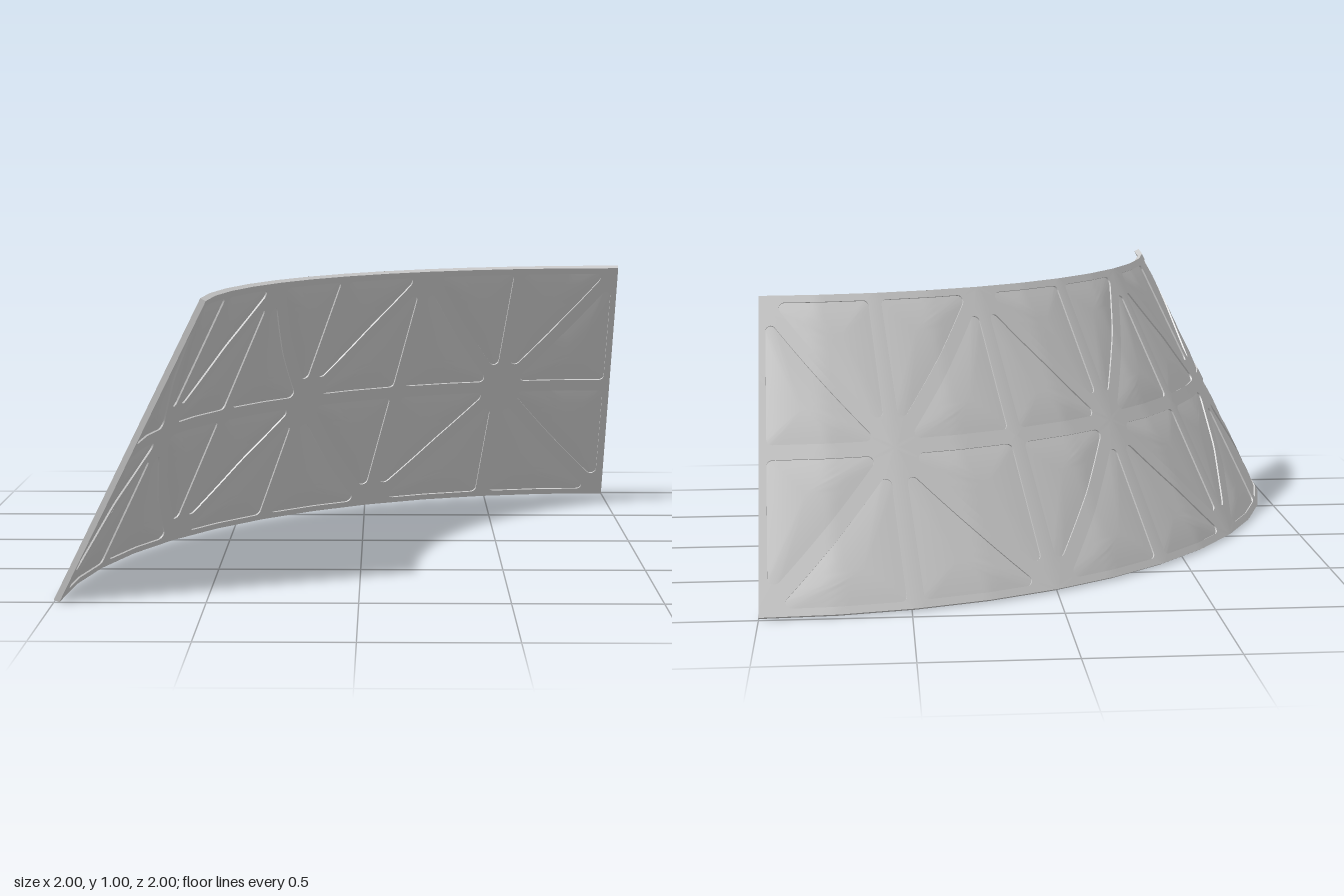
import * as THREE from 'three';
import { toCreasedNormals } from 'three/addons/utils/BufferGeometryUtils.js';

const BAYS = 3, FACETS = 4;                // bays, and flat facets per bay
const W = 0.916, H = 1.108;                // bay width and slope length, unrolled
const THICK = 0.02, STEP = 0.006, BULGE = 0.006;
const MARGIN = 0.026, ROUND = 0.02;

// Wrap unrolled bay coordinates (s, t) onto a faceted quarter cone; d = height above the inner face
function wrap(bay, s, t, d) {
  const f = (bay + s / W) * FACETS;
  const i = Math.min(Math.floor(f + 1e-6), BAYS * FACETS - 1);
  const step = Math.PI / (2 * BAYS * FACETS);
  const mix = fn => THREE.MathUtils.lerp(fn(i * step), fn((i + 1) * step), f - i);
  const v = t / H;
  const r = 1.982 - 0.492 * v + 0.894 * d;
  return [1 - r * mix(Math.sin), 0.991 * v + 0.447 * d, 1 - r * mix(Math.cos)];
}

function quad(out, a, b, c, d, flip) {
  const order = flip ? [a, c, b, a, d, c] : [a, b, c, a, c, d];
  for (const p of order) out.push(...p);
}

// Rounded inset outline of a triangle, paired with points on the triangle itself
function outlines(tri) {
  const len = tri.map((_, i) => tri[(i + 1) % 3].distanceTo(tri[(i + 2) % 3]));
  const sum = len[0] + len[1] + len[2];
  const centre = new THREE.Vector2();
  tri.forEach((p, i) => centre.addScaledVector(p, len[i] / sum));
  const normal = tri.map((p, i) => {
    const e = tri[(i + 1) % 3].clone().sub(p).normalize();
    return new THREE.Vector2(e.y, -e.x);
  });
  const rho = tri[0].clone().sub(centre).dot(normal[0]);
  const k = 1 - (MARGIN + ROUND) / rho;
  const core = tri.map(p => centre.clone().lerp(p, k));
  const inner = [];
  for (let i = 0; i < 3; i++) {
    const n0 = normal[(i + 2) % 3], n1 = normal[i];
    const a0 = Math.atan2(n0.y, n0.x);
    const turn = Math.acos(THREE.MathUtils.clamp(n0.dot(n1), -1, 1));
    for (let j = 0; j <= 6; j++) {
      const a = a0 + turn * j / 6;
      inner.push(core[i].clone().add(new THREE.Vector2(Math.cos(a), Math.sin(a)).multiplyScalar(ROUND)));
    }
    const start = inner[inner.length - 1];
    const end = core[(i + 1) % 3].clone().addScaledVector(n1, ROUND);
    for (let j = 1; j < 14; j++) inner.push(start.clone().lerp(end, j / 14));
  }
  // Cast each inner point from the incentre out to the nearest side
  const outer = inner.map(p => {
    const dir = p.clone().sub(centre);
    const reach = Math.max(...normal.map(n => dir.dot(n)));
    return centre.clone().addScaledVector(dir, rho / reach);
  });
  return { centre, inner, outer };
}

function ring(out, bay, ra, da, rb, db, flip) {
  for (let i = 0; i < ra.length; i++) {
    const j = (i + 1) % ra.length;
    quad(out, wrap(bay, ra[i].x, ra[i].y, da), wrap(bay, ra[j].x, ra[j].y, da),
      wrap(bay, rb[j].x, rb[j].y, db), wrap(bay, rb[i].x, rb[i].y, db), flip);
  }
}

function makeMesh(name, positions) {
  const g = new THREE.BufferGeometry();
  g.setAttribute('position', new THREE.Float32BufferAttribute(positions, 3));
  const mesh = new THREE.Mesh(toCreasedNormals(g, 0.5),
    new THREE.MeshStandardMaterial({ color: 0xcccccc, side: THREE.DoubleSide }));
  mesh.name = name;
  return mesh;
}

export function createModel() {
  const group = new THREE.Group();
  group.name = 'curvedRoofSection';
  const ribs = [], panels = [], rim = [];
  const hub = new THREE.Vector2(W / 2, H / 2);
  const border = [[0, 0], [0.5, 0], [1, 0], [1, 0.5], [1, 1], [0.5, 1], [0, 1], [0, 0.5]]
    .map(([u, v]) => new THREE.Vector2(u * W, v * H));

  // Each bay: eight triangular panels around a star of ribs, on both faces
  border.forEach((p, i) => {
    const { centre, inner, outer } = outlines([hub, p, border[(i + 1) % 8]]);
    const N = 5;
    for (let bay = 0; bay < BAYS; bay++) {
      for (const inside of [false, true]) {
        const face = inside ? 0 : THICK;
        const sign = inside ? -1 : 1;
        const floor = face - sign * STEP;
        ring(ribs, bay, outer, face, inner, face, inside);
        ring(ribs, bay, inner, face, inner, floor, inside);
        // Softly pillowed infill
        for (let k = 0; k < N; k++) {
          const a = k / N, b = (k + 1) / N;
          const at = f => inner.map(q => q.clone().lerp(centre, f));
          const rise = f => floor + sign * BULGE * (1 - (1 - f) ** 2);
          ring(panels, bay, at(a), rise(a), at(b), rise(b), inside);
        }
      }
    }
  });

  // Rim closing the thickness: lower and upper arcs, then the two straight ends
  const count = BAYS * FACETS;
  for (let i = 0; i < count; i++) {
    const s0 = i / FACETS * W, s1 = (i + 1) / FACETS * W;
    for (const t of [0, H]) {
      quad(rim, wrap(0, s0, t, THICK), wrap(0, s0, t, 0),
        wrap(0, s1, t, 0), wrap(0, s1, t, THICK), t > 0);
    }
  }
  for (const s of [0, BAYS * W]) {
    quad(rim, wrap(0, s, 0, THICK), wrap(0, s, H, THICK),
      wrap(0, s, H, 0), wrap(0, s, 0, 0), s > 0);
  }

  group.add(makeMesh('ribFrame', ribs), makeMesh('infillPanels', panels), makeMesh('rim', rim));
  return group;
}
